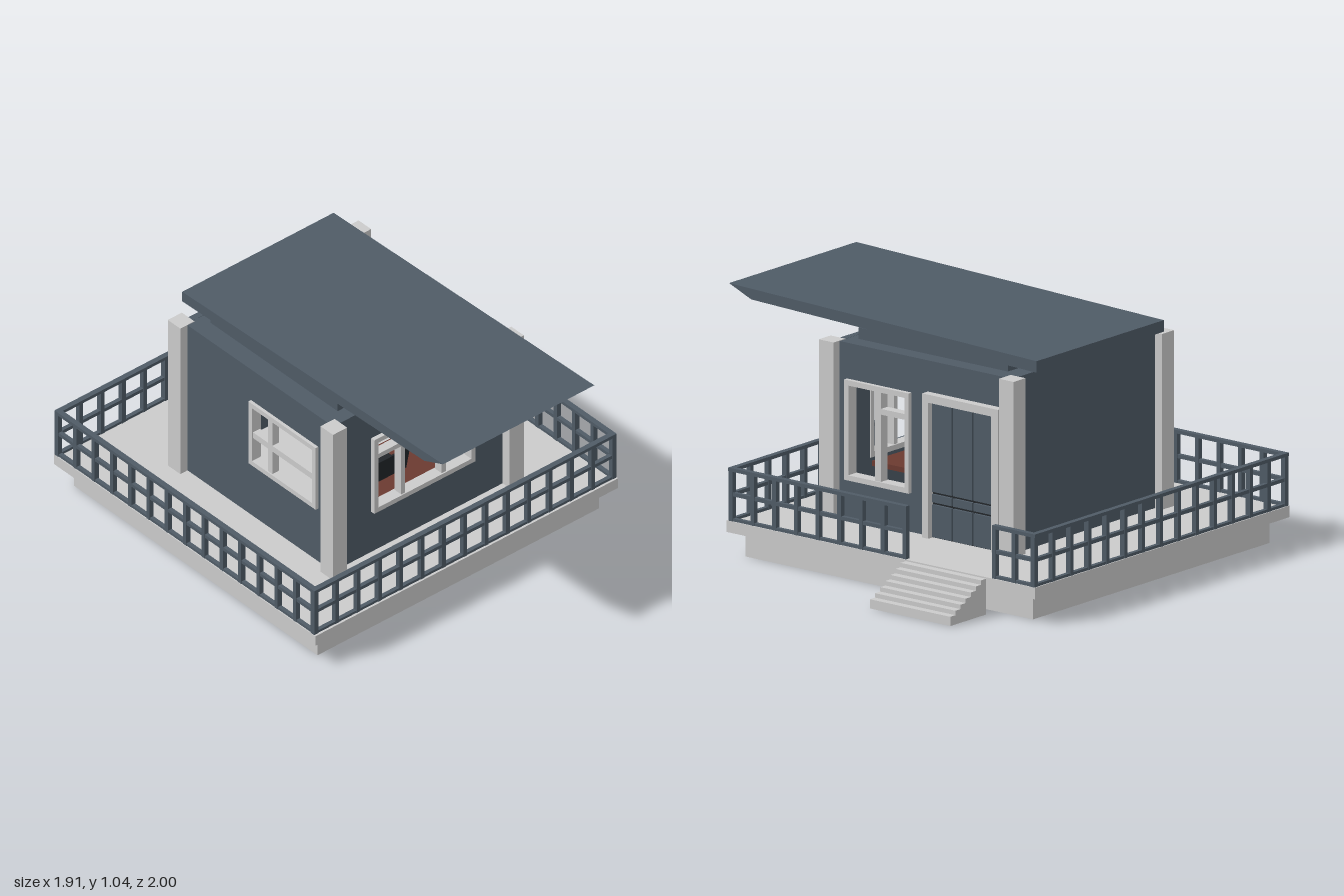
import * as THREE from 'three';

const grey = new THREE.MeshStandardMaterial({ color: 0xcccccc });
const blue = new THREE.MeshStandardMaterial({ color: 0x4f5b66 });
const dark = new THREE.MeshStandardMaterial({ color: 0x22262a });
const red = new THREE.MeshStandardMaterial({ color: 0x6b3a30 });

function add(parent, name, geometry, material) {
  const mesh = new THREE.Mesh(geometry, material);
  mesh.name = name;
  parent.add(mesh);
  return mesh;
}

// Box given by its lower and upper limits
function box(parent, name, material, x0, x1, y0, y1, z0, z1) {
  const mesh = add(parent, name, new THREE.BoxGeometry(x1 - x0, y1 - y0, z1 - z0), material);
  mesh.position.set((x0 + x1) / 2, (y0 + y1) / 2, (z0 + z1) / 2);
  return mesh;
}

function outline(points) {
  return new THREE.Shape(points.map(p => new THREE.Vector2(...p)));
}

function extrude(shape, depth) {
  return new THREE.ExtrudeGeometry(shape, { depth, bevelEnabled: false });
}

const rect = (u0, u1, v0, v1) => [[u0, v0], [u1, v0], [u1, v1], [u0, v1]];

// Upright wall with an optional rectangular opening
function wall(parent, name, u0, u1, opening) {
  const shape = outline(rect(u0, u1, 0.16, 0.92));
  if (opening) shape.holes.push(outline(rect(...opening).reverse()));
  return add(parent, name, extrude(shape, 0.03), blue);
}

// Window frame with its bars, drawn in the plane of its wall
function windowFrame(parent, name, [u0, u1, v0, v1], bars, z0, z1) {
  const group = new THREE.Group();
  group.name = name;
  const w = 0.023;
  const shape = outline(rect(u0, u1, v0, v1));
  shape.holes.push(outline(rect(u0 + w, u1 - w, v0 + w, v1 - w).reverse()));
  add(group, 'windowTrim', extrude(shape, z1 - z0), grey).position.z = z0;
  for (const b of bars) box(group, 'windowBar', grey, ...b, z0 + 0.006, z1 - 0.006);
  parent.add(group);
}

// A side wall's plane: local x runs along world z, local z points to -x
function sidePlane(parent, name, x) {
  const group = new THREE.Group();
  group.name = name;
  group.rotation.y = -Math.PI / 2;
  group.position.x = x;
  parent.add(group);
  return group;
}

// Straight run of railing along x (alongX) or z
function railing(parent, name, alongX, a, b, c0, c1, cells) {
  const group = new THREE.Group();
  group.name = name;
  const part = (n, s0, s1, y0, y1, inset) => alongX
    ? box(group, n, blue, s0, s1, y0, y1, c0 + inset, c1 - inset)
    : box(group, n, blue, c0 + inset, c1 - inset, y0, y1, s0, s1);
  part('topRail', a, b, 0.375, 0.39, 0);
  part('midRail', a, b, 0.268, 0.284, 0.003);
  part('bottomRail', a, b, 0.16, 0.172, 0.003);
  const w = 0.02;
  for (let i = 0; i <= cells; i++) {
    const s = a + (b - a - w) * i / cells;
    part('baluster', s, s + w, 0.16, 0.38, 0.001);
  }
  parent.add(group);
}

export function createModel() {
  const model = new THREE.Group();
  model.name = 'cabin';

  // Plinth and deck
  box(model, 'plinth', grey, -0.9, 0.655, 0, 0.11, -0.94, 0.615);
  box(model, 'deck', grey, -0.96, 0.715, 0.11, 0.16, -1, 0.67);

  // Stairs
  const steps = [[0.72, 0]];
  const count = 7, run = 0.235 / count;
  for (let i = 0; i < count; i++) {
    const x = 0.955 - i * run, y = 0.04 + i * 0.0192;
    if (i === 0) steps.push([x, 0]);
    steps.push([x, y], [x - run, y]);
  }
  add(model, 'stairs', extrude(outline(steps), 0.435), grey).position.z = -0.74;

  // Railings, open at the stairs
  railing(model, 'frontRailing', true, -0.958, 0.713, 0.637, 0.662, 14);
  railing(model, 'backRailing', true, -0.958, 0.713, -0.998, -0.973, 14);
  railing(model, 'leftSideRailing', false, -0.996, 0.66, -0.958, -0.933, 14);
  railing(model, 'stairSideRailing', false, -0.3, 0.66, 0.688, 0.713, 8);
  railing(model, 'stairEndRailing', false, -0.996, -0.765, 0.688, 0.713, 2);

  // Corner pillars
  for (const x of [-0.65, 0.327])
    for (const z of [-0.63, 0.345])
      box(model, 'pillar', grey, x, x + 0.078, 0.16, 0.922, z, z + 0.08);

  // Front and back walls
  const frontWindow = [-0.4, 0.16, 0.37, 0.755];
  const inner = ([a, b, c, d]) => [a + 0.01, b - 0.01, c + 0.01, d - 0.01];
  wall(model, 'frontWall', -0.58, 0.335, inner(frontWindow)).position.z = 0.35;
  wall(model, 'backWall', -0.58, 0.335).position.z = -0.59;
  windowFrame(model, 'frontWindow', frontWindow, [
    [-0.246, -0.224, 0.38, 0.745],
    [-0.022, 0.002, 0.38, 0.745],
    [-0.39, -0.235, 0.645, 0.667],
  ], 0.345, 0.4);

  // Side walls with their windows
  const doorSide = sidePlane(model, 'doorSide', 0.365);
  const doorWindow = [-0.045, 0.305, 0.33, 0.765];
  wall(doorSide, 'sideWall', -0.59, 0.38, inner(doorWindow));
  windowFrame(doorSide, 'sideWindow', doorWindow, [
    [0.11, 0.142, 0.34, 0.755],
    [-0.035, 0.12, 0.645, 0.67],
  ], -0.02, 0.035);

  const farSide = sidePlane(model, 'farSide', -0.58);
  const farWindow = [-0.145, 0.285, 0.437, 0.76];
  wall(farSide, 'sideWall', -0.59, 0.38, inner(farWindow));
  windowFrame(farSide, 'sideWindow', farWindow, [
    [-0.025, 0.002, 0.45, 0.75],
    [-0.135, 0.275, 0.578, 0.608],
  ], -0.005, 0.045);

  // Door: frame, backing and raised planks
  const door = new THREE.Group();
  door.name = 'door';
  model.add(door);
  box(door, 'doorPost', grey, 0.355, 0.403, 0.16, 0.785, -0.165, -0.133);
  box(door, 'doorPost', grey, 0.355, 0.403, 0.16, 0.785, -0.543, -0.505);
  box(door, 'doorLintel', grey, 0.355, 0.403, 0.75, 0.785, -0.505, -0.165);
  box(door, 'doorBacking', dark, 0.36, 0.372, 0.16, 0.75, -0.505, -0.165);
  for (let i = 0; i < 3; i++) {
    const z = -0.5 + i * 0.1125;
    for (const [y0, y1] of [[0.165, 0.305], [0.316, 0.35], [0.361, 0.745]])
      box(door, 'doorPlank', blue, 0.37, 0.384, y0, y1, z, z + 0.104);
  }

  // Ceiling, roof riser and the sloping roof with its pointed front edge
  box(model, 'ceiling', blue, -0.595, 0.35, 0.89, 0.919, -0.575, 0.365);
  box(model, 'roofRiser', blue, -0.525, 0.285, 0.915, 0.968, -0.5, 0.31)
    .geometry.translate(0, 0, 0);
  const roof = outline([[-0.665, 0.945], [0.88, 0.992], [1, 1.042], [-0.665, 0.995]]);
  add(sidePlane(model, 'roof', 0.297), 'roofSlab', extrude(roof, 0.837), blue);

  // Desk with a laptop by the front window
  box(model, 'deskTop', red, -0.42, 0.17, 0.34, 0.362, 0.04, 0.33);
  for (const x of [-0.41, 0.14])
    for (const z of [0.05, 0.3])
      box(model, 'deskLeg', red, x, x + 0.02, 0.16, 0.34, z, z + 0.02);
  box(model, 'laptopBase', dark, -0.285, -0.08, 0.362, 0.372, 0.1, 0.235);
  const screen = box(model, 'laptopScreen', dark, -0.285, -0.08, 0.37, 0.485, 0.24, 0.248);
  screen.rotation.x = 0.2;

  return model;
}
